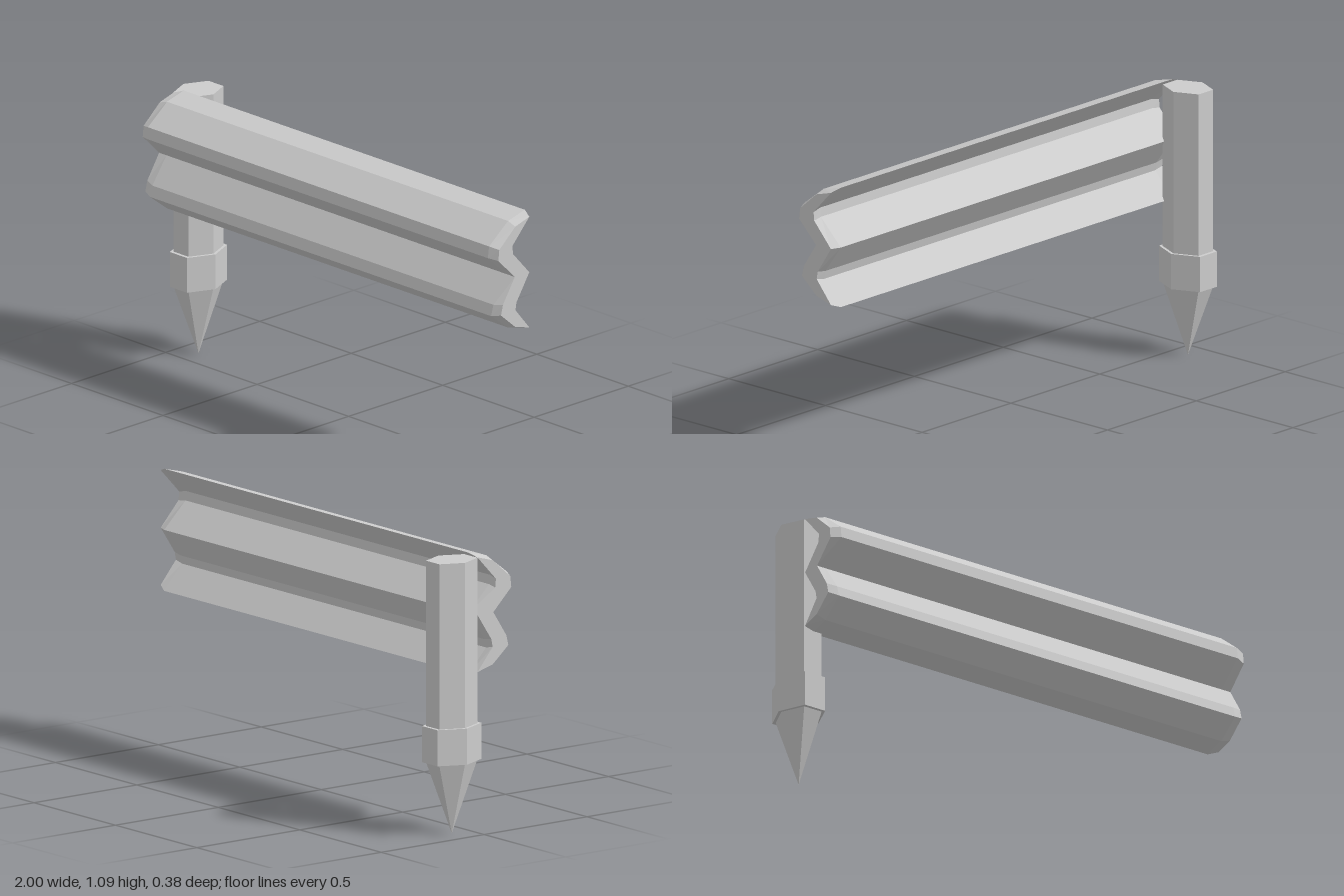
import * as THREE from 'three';

const material = new THREE.MeshStandardMaterial({ color: 0xcccccc, flatShading: true });

// Six-sided section of the post, slightly stretched front to back
function hexSection(name, rTop, rBottom, y0, y1) {
  const geometry = new THREE.CylinderGeometry(rTop, rBottom, y1 - y0, 6);
  geometry.rotateY(Math.PI / 6).scale(1, 1, 1.31);
  geometry.translate(0, (y0 + y1) / 2, 0);
  const mesh = new THREE.Mesh(geometry, material);
  mesh.name = name;
  return mesh;
}

// Corrugated beam: one profile extruded in three spans, shrunk at both ends for the bevel
function createRail() {
  const profile = [ // [z, y], outer face from bottom to top, then the inner face back down
    [-0.003, 0.608], [0.086, 0.63], [0.176, 0.699], [0.164, 0.742], [0.089, 0.846],
    [0.193, 0.938], [0.187, 0.984], [0.086, 1.062], [-0.003, 1.085],
    [0.104, 0.983], [0.1, 0.947], [-0.003, 0.846], [0.078, 0.735], [0.085, 0.702],
  ];
  const shape = new THREE.Shape(profile.map(([z, y]) => new THREE.Vector2(z, y)));
  const geometry = new THREE.ExtrudeGeometry(shape, { depth: 3, steps: 3, bevelEnabled: false });
  const layerX = [1, 0.96, -0.904, -0.944];
  const midZ = 0.089, midY = 0.846;
  const p = geometry.attributes.position;
  for (let i = 0; i < p.count; i++) {
    const layer = Math.round(p.getZ(i));
    const end = layer === 0 || layer === 3;
    const z = midZ + (p.getX(i) - midZ) * (end ? 0.84 : 1);
    const y = midY + (p.getY(i) - midY) * (end ? 0.94 : 1);
    p.setXYZ(i, layerX[layer], y, z);
  }
  geometry.computeVertexNormals();
  const rail = new THREE.Mesh(geometry, material);
  rail.name = 'rail';
  return rail;
}

export function createModel() {
  const model = new THREE.Group();
  model.name = 'guardrail';

  // Post with collar and ground spike
  const post = new THREE.Group();
  post.name = 'post';
  post.position.set(-0.906, 0, -0.083);
  post.add(
    hexSection('postShaft', 0.082, 0.082, 0.42, 1.07),
    hexSection('postCollar', 0.094, 0.094, 0.284, 0.425),
    hexSection('postSpike', 0.082, 0, 0, 0.285),
  );

  model.add(post, createRail());
  return model;
}
